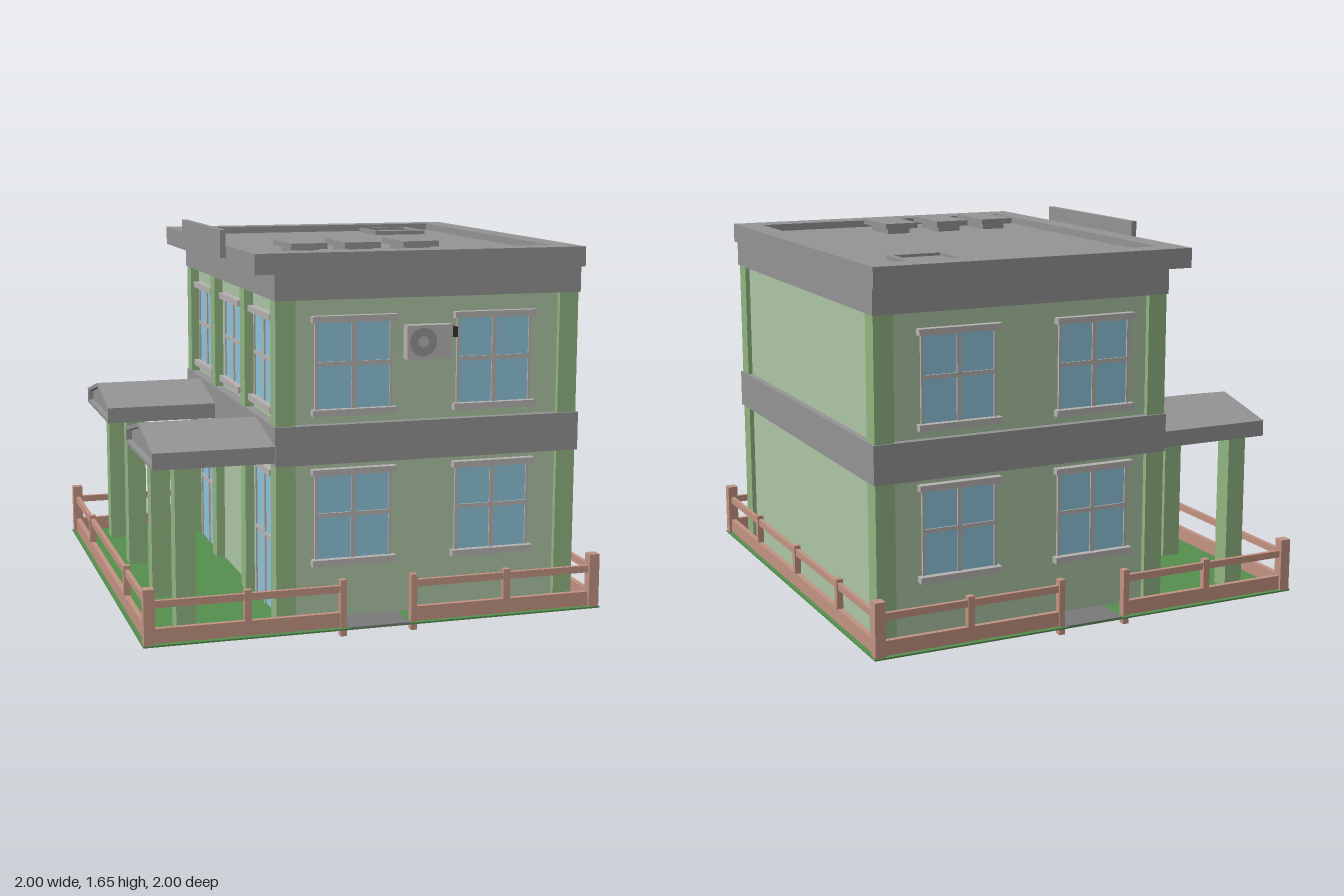
import * as THREE from 'three';

const mat = (name, color) => {
  const m = new THREE.MeshStandardMaterial({ color });
  m.name = name;
  return m;
};

export function createModel() {
  const model = new THREE.Group();
  model.name = 'house';

  const wall = mat('pale green wall', 0xadc6a6);
  const column = mat('green column', 0x93b683);
  const grey = mat('grey concrete', 0x959595);
  const trim = mat('light trim', 0xb8b3b3);
  const glass = mat('blue glass', 0x8fc6dc);
  const wood = mat('reddish fence', 0xc49484);
  const grass = mat('grass', 0x57904f);
  const paving = mat('paving', 0x7a7a7a);
  const dark = mat('dark fitting', 0x333333);

  // Box given by its limits on each axis
  const box = (parent, name, m, x0, x1, y0, y1, z0, z1) => {
    const mesh = new THREE.Mesh(new THREE.BoxGeometry(x1 - x0, y1 - y0, z1 - z0), m);
    mesh.position.set((x0 + x1) / 2, (y0 + y1) / 2, (z0 + z1) / 2);
    mesh.name = name;
    parent.add(mesh);
    return mesh;
  };
  const group = (name) => {
    const g = new THREE.Group();
    g.name = name;
    model.add(g);
    return g;
  };
  // Closed outline from corner points
  const outline = (C, pts) => new C(pts.map(([x, y]) => new THREE.Vector2(x, y)));
  const rect = (C, x0, x1, z0, z1) => outline(C, [[x0, -z0], [x0, -z1], [x1, -z1], [x1, -z0]]);
  // Flat rectangular ring lying in the ground plane
  const ring = (parent, name, m, outer, inner, y0, y1) => {
    const s = rect(THREE.Shape, ...outer);
    s.holes.push(rect(THREE.Path, ...inner));
    const geo = new THREE.ExtrudeGeometry(s, { depth: y1 - y0, bevelEnabled: false });
    const mesh = new THREE.Mesh(geo.rotateX(-Math.PI / 2), m);
    mesh.position.y = y0;
    mesh.name = name;
    parent.add(mesh);
  };

  // Ground and paths
  box(model, 'lawn', grass, -1, 1, 0.028, 0.035, -1, 1);
  for (const s of [-1, 1]) {
    const z = [s * 0.82, s].sort((a, b) => a - b);
    box(model, 'path', paving, -0.13, 0.13, 0.03, 0.039, z[0], z[1]);
  }

  // Walls, columns and concrete bands
  const shell = group('building');
  box(shell, 'walls', wall, -0.37, 0.91, 0.03, 1.42, -0.83, 0.83);
  const rows = [-0.812, -0.29, 0.29, 0.812];
  rows.forEach((z, i) => {
    box(shell, 'leftColumn', column, -0.41, -0.325, 0.026, 1.4, z - 0.042, z + 0.042);
    box(shell, 'porchPost', column, -0.835, -0.75, 0.026, 0.74, z - 0.042, z + 0.042);
    if (i % 3 === 0) box(shell, 'rightColumn', column, 0.845, 0.93, 0.026, 1.4, z - 0.042, z + 0.042);
  });
  box(shell, 'middleBand', grey, -0.415, 0.938, 0.705, 0.87, -0.862, 0.865);
  box(shell, 'upperBand', grey, -0.415, 0.935, 1.39, 1.51, -0.862, 0.865);

  // Roof with raised rim
  const roof = group('roof');
  ring(roof, 'rim', grey, [-0.505, 0.943, -0.895, 0.89], [-0.405, 0.835, -0.78, 0.77], 1.5, 1.585);
  box(roof, 'deck', grey, -0.42, 0.85, 1.505, 1.553, -0.79, 0.78);
  box(roof, 'parapetBoard', grey, -0.53, -0.505, 1.53, 1.65, -0.395, 0.395);
  for (const x of [-0.21, 0.025, 0.285]) {
    box(roof, 'ventBase', grey, x - 0.055, x + 0.055, 1.55, 1.58, 0.415, 0.62);
    box(roof, 'ventCap', grey, x - 0.08, x + 0.08, 1.58, 1.605, 0.375, 0.66);
  }
  ring(roof, 'hatchFrame', grey, [0.455, 0.71, -0.72, -0.46], [0.475, 0.685, -0.7, -0.485], 1.55, 1.572);
  box(roof, 'hatchLid', grey, 0.475, 0.685, 1.55, 1.56, -0.7, -0.485);

  // Window or door facing local +z, origin at the bottom centre of the glass
  const opening = (name, x, y, z, turn, w, h, isDoor) => {
    const g = group(name);
    g.position.set(x, y, z);
    g.rotation.y = turn;
    const r = w / 2;
    box(g, 'pane', glass, -r, r, 0, h, -0.004, 0.005);
    box(g, 'mullion', trim, -0.01, 0.01, 0, h, 0, 0.012);
    box(g, 'crossbar', trim, -r, r, h * 0.52 - 0.009, h * 0.52 + 0.009, 0, 0.012);
    for (const s of [-r, r]) box(g, 'jamb', trim, s - 0.006, s + 0.006, 0, h, 0, 0.012);
    box(g, 'lintel', trim, -r - 0.022, r + 0.022, h, h + 0.027, 0, 0.034);
    if (!isDoor) box(g, 'sill', trim, -r - 0.022, r + 0.022, -0.028, 0, 0, 0.034);
  };
  for (const [y, h] of [[0.295, 0.36], [0.933, 0.362]]) {
    for (const x of [-0.07, 0.553]) {
      opening('frontWindow', x, y, 0.83, 0, 0.325, h);
      opening('backWindow', x, y, -0.83, Math.PI, 0.325, h);
    }
  }
  for (const z of [-0.55, 0, 0.55]) {
    opening('leftWindow', -0.37, 0.933, z, -Math.PI / 2, 0.325, 0.362);
    if (z) opening('door', -0.37, 0.037, z, -Math.PI / 2, 0.3, 0.6, true);
  }

  // Gabled porch canopies with a recessed end panel
  const gable = (C, r, y0, y1, y2) => outline(C, [[-r, y0], [r, y0], [r, y1], [0, y2], [-r, y1]]);
  for (const z of [-0.55, 0.547]) {
    const g = group('porchCanopy');
    const rim = gable(THREE.Shape, 0.31, 0.72, 0.79, 0.863);
    rim.holes.push(gable(THREE.Path, 0.29, 0.735, 0.777, 0.845));
    const parts = [
      ['canopyShell', rim, 0.53, 0.925],
      ['canopyPanel', gable(THREE.Shape, 0.295, 0.73, 0.78, 0.85), 0.5, 0.9],
    ];
    for (const [name, shape, depth, x] of parts) {
      const geo = new THREE.ExtrudeGeometry(shape, { depth, bevelEnabled: false });
      const mesh = new THREE.Mesh(geo.rotateY(Math.PI / 2), grey);
      mesh.position.set(-x, 0, z);
      mesh.name = name;
      g.add(mesh);
    }
  }

  // Air conditioner on the front wall
  const ac = group('airConditioner');
  box(ac, 'casing', trim, 0.15, 0.35, 1.13, 1.273, 0.83, 0.878);
  box(ac, 'pipeBox', dark, 0.35, 0.377, 1.217, 1.26, 0.83, 0.868);
  const fan = new THREE.Mesh(new THREE.RingGeometry(0.024, 0.06, 24), grey);
  fan.position.set(0.22, 1.203, 0.882);
  fan.name = 'fanRing';
  ac.add(fan);

  // Fence run along local x, with short posts between the rails
  const fence = (name, x, z, turn, x0, x1, posts, gateX) => {
    const g = group(name);
    g.position.set(x, 0, z);
    g.rotation.y = turn;
    box(g, 'bottomRail', wood, x0, x1, 0.038, 0.1, -0.011, 0.011);
    box(g, 'topRail', wood, x0, x1, 0.185, 0.215, -0.009, 0.009);
    for (const p of posts) box(g, 'shortPost', wood, p - 0.015, p + 0.015, 0.1, 0.23, -0.014, 0.014);
    if (gateX) box(g, 'gatePost', wood, gateX - 0.013, gateX + 0.013, 0, 0.24, -0.016, 0.016);
  };
  for (const s of [-1, 1]) {
    fence('endFence', 0, s * 0.973, 0, -0.985, -0.15, [-0.563], -0.157);
    fence('endFence', 0, s * 0.973, 0, 0.15, 0.985, [0.57], 0.152);
    for (const t of [-1, 1]) {
      const x = s * 0.973, z = t * 0.973;
      box(model, 'cornerPost', wood, x - 0.023, x + 0.023, 0.028, 0.267, z - 0.023, z + 0.023);
    }
  }
  fence('rightFence', 0.973, 0, Math.PI / 2, -0.98, 0.98, [-0.53, 0, 0.53]);
  fence('leftFence', -0.973, 0, Math.PI / 2, -0.98, 0.98, [-0.47, 0.475]);

  return model;
}
